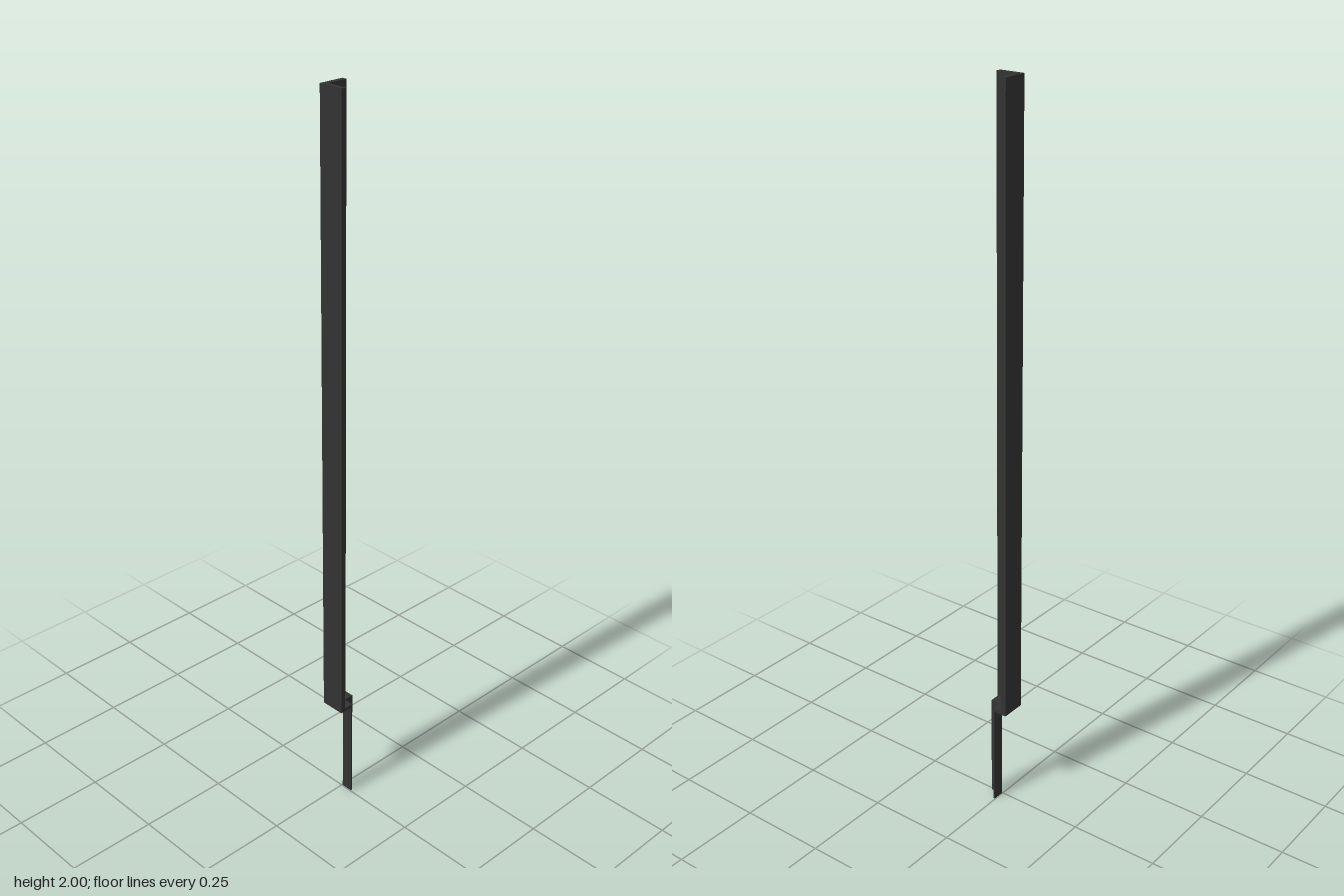
import * as THREE from 'three';

const material = new THREE.MeshStandardMaterial({ color: 0x333333, flatShading: true });
const END = 0.035; // outer limit of both arms

// Vertical angle section: outer corner at (-out, +out), inner corner at (-inn, +inn)
function angle(name, out, inn, y0, y1) {
  const shape = new THREE.Shape([
    [-out, -out], [END, -out], [END, -inn], [-inn, -inn], [-inn, END], [-out, END],
  ].map(([x, y]) => new THREE.Vector2(x, y)));
  const geometry = new THREE.ExtrudeGeometry(shape, { depth: y1 - y0, bevelEnabled: false });
  geometry.rotateX(-Math.PI / 2); // shape y becomes -z, depth becomes y
  geometry.translate(0, y0, 0);
  const mesh = new THREE.Mesh(geometry, material);
  mesh.name = name;
  return mesh;
}

export function createModel() {
  const group = new THREE.Group();
  group.name = 'cornerPost';
  group.add(
    angle('upperAngle', 0.035, 0.021, 0.29, 2), // tall outer corner angle
    angle('ledge', 0.021, -0.006, 0.29, 0.3), // flat step between the angles
    angle('lowerAngle', -0.002, -0.006, 0, 0.29), // thin leg below the step
  );
  return group;
}
